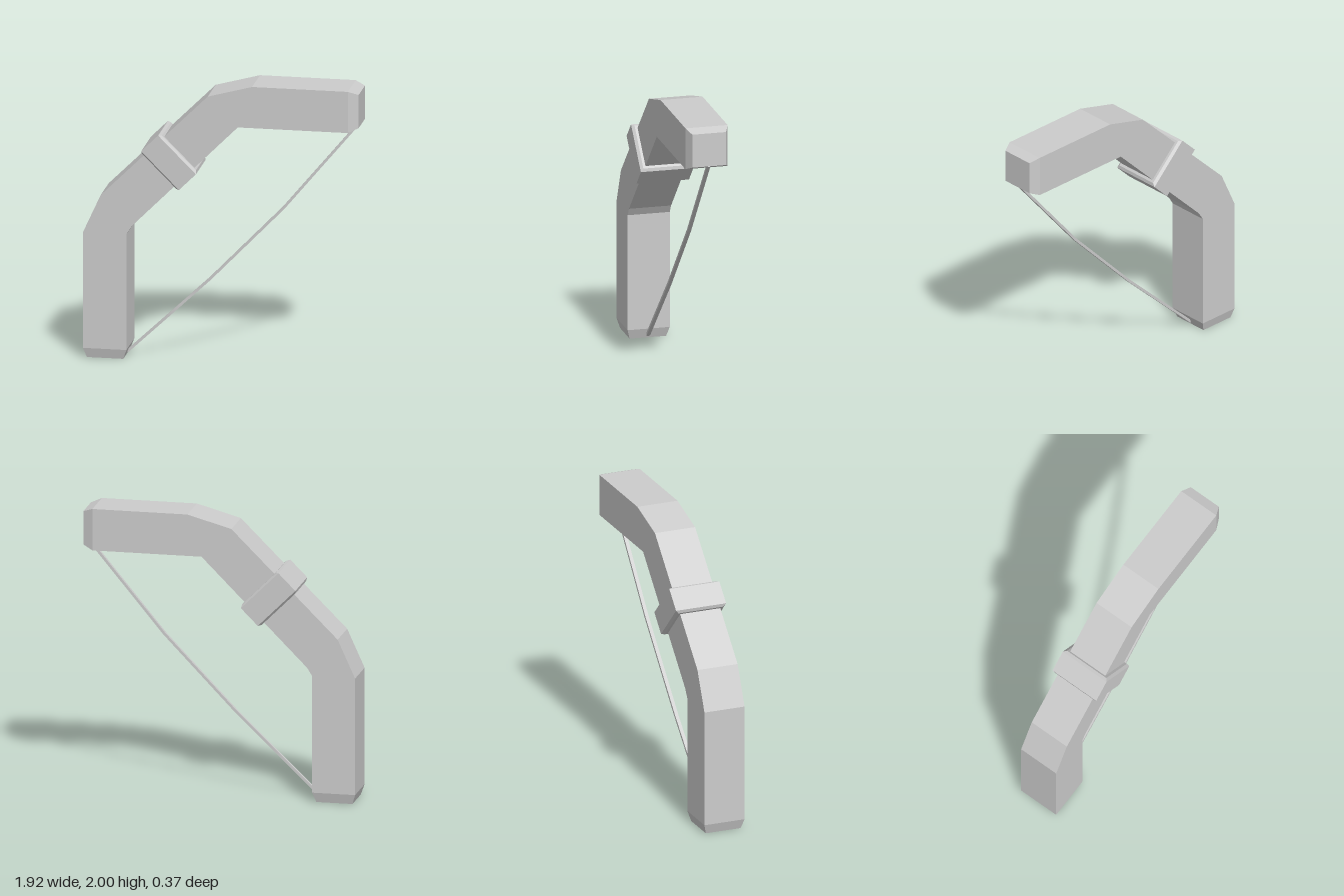
import * as THREE from 'three';

const material = new THREE.MeshStandardMaterial({ color: 0xcccccc, flatShading: true });

// Closed rectangular loft; each section is [leftX, leftY, rightX, rightY, halfDepth],
// left and right being taken along the direction of travel.
function loft(name, sections) {
  const rings = sections.map(([ax, ay, bx, by, h]) => [
    [ax, ay, h], [bx, by, h], [bx, by, -h], [ax, ay, -h],
  ]);
  const positions = [];
  const quad = (a, b, c, d) => positions.push(...a, ...b, ...c, ...a, ...c, ...d);
  for (let i = 0; i < rings.length - 1; i++) {
    for (let j = 0; j < 4; j++) {
      const k = (j + 1) % 4;
      quad(rings[i][j], rings[i][k], rings[i + 1][k], rings[i + 1][j]);
    }
  }
  quad(...[...rings[0]].reverse());
  quad(...rings[rings.length - 1]);
  const geometry = new THREE.BufferGeometry();
  geometry.setAttribute('position', new THREE.Float32BufferAttribute(positions, 3));
  geometry.computeVertexNormals();
  const mesh = new THREE.Mesh(geometry, material);
  mesh.name = name;
  return mesh;
}

// Section square to a direction (dx, dy) at a centre point
function section(x, y, dx, dy, half, depth) {
  const l = Math.hypot(dx, dy);
  const nx = (-dy / l) * half, ny = (dx / l) * half;
  return [x + nx, y + ny, x - nx, y - ny, depth];
}

export function createModel() {
  const bow = new THREE.Group();
  bow.name = 'bow';

  // Bent body with bevelled tips
  bow.add(loft('bowLimbs', [
    [-0.94, 0, -0.685, 0, 0.13],
    [-0.963, 0.07, -0.66, 0.07, 0.15],
    [-0.963, 0.9, -0.66, 0.9, 0.15],
    [-0.84, 1.17, -0.625, 0.957, 0.15],
    [-0.09, 1.915, 0.118, 1.703, 0.15],
    [0.22, 2, 0.12, 1.705, 0.15],
    [0.89, 2, 0.89, 1.705, 0.15],
    [0.96, 1.973, 0.96, 1.735, 0.12],
  ]));

  // Bevelled band around the middle, tilted 45 degrees
  const grip = [[-0.098, 0.168], [-0.084, 0.187], [0.084, 0.187], [0.098, 0.168]];
  bow.add(loft('grip', grip.map(([u, half]) =>
    section(-0.358 + u * Math.SQRT1_2, 1.437 + u * Math.SQRT1_2, 1, 1, half, half))));

  // Thin, slightly bowed string between the tips
  const path = [[-0.68, 0.02], [-0.1, 0.57], [0.415, 1.105], [0.935, 1.73]];
  bow.add(loft('bowstring', path.map(([x, y], i) => {
    const from = path[Math.max(i - 1, 0)], to = path[Math.min(i + 1, path.length - 1)];
    return section(x, y, to[0] - from[0], to[1] - from[1], 0.009, 0.0125);
  })));

  return bow;
}
